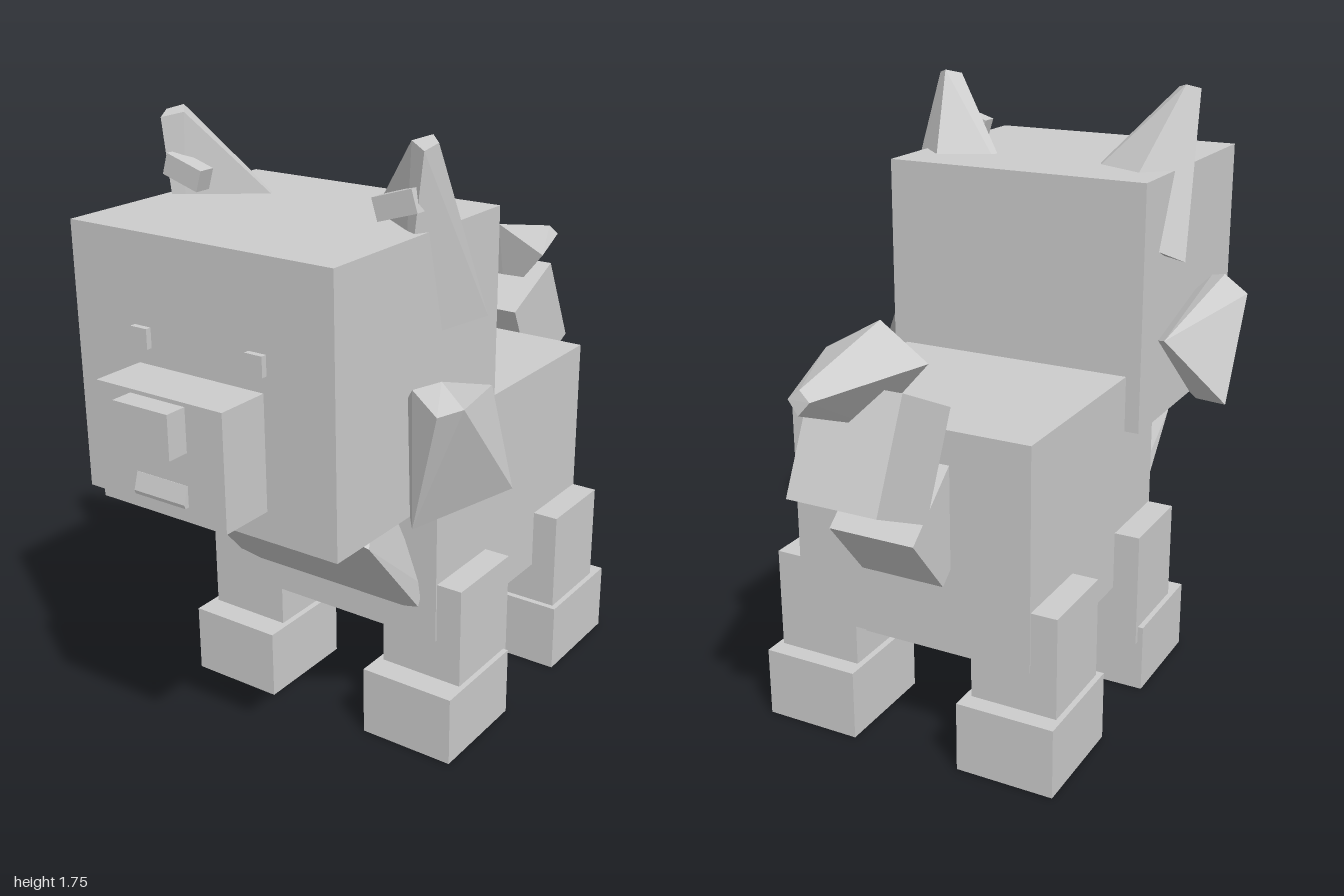
import * as THREE from 'three';
import { ConvexGeometry } from 'three/addons/geometries/ConvexGeometry.js';

export function createModel() {
  const model = new THREE.Group();
  const grey = new THREE.MeshStandardMaterial({ color: 0xcccccc });
  grey.name = 'light grey';

  function add(name, geometry) {
    const mesh = new THREE.Mesh(geometry, grey);
    mesh.name = name;
    model.add(mesh);
    return mesh;
  }
  // Box given by its extents on each axis
  function block(name, x0, x1, y0, y1, z0, z1) {
    const mesh = add(name, new THREE.BoxGeometry(x1 - x0, y1 - y0, z1 - z0));
    mesh.position.set((x0 + x1) / 2, (y0 + y1) / 2, (z0 + z1) / 2);
    return mesh;
  }
  // Faceted solid around a few corner points, mirrored in x by side
  function hull(name, points, side = 1) {
    return add(name, new ConvexGeometry(points.map(([x, y, z]) => new THREE.Vector3(x * side, y, z))));
  }
  const bothSides = (points) => points.flatMap(([x, y, z]) => [[x, y, z], [-x, y, z]]);

  // Trunk
  block('body', -0.36, 0.36, 0.325, 0.965, -0.535, 0.28);
  block('belly', -0.3, 0.3, 0.285, 0.33, -0.48, 0.22);
  hull('chestRuff', bothSides([
    [0.11, 0.8, 0.61], [0.315, 0.705, 0.535], [0.315, 0.43, 0.3], [0.24, 0.4, 0.275],
    [0.2, 0.8, 0.32], [0.3, 0.47, 0.25], [0.2, 0.45, 0.2],
  ]));

  // Head and face
  block('head', -0.403, 0.403, 0.8, 1.52, 0.065, 0.79);
  block('snout', -0.197, 0.195, 0.88, 1.185, 0.78, 0.94);
  block('nose', -0.087, 0.083, 1.06, 1.175, 0.93, 1.0);
  hull('mouth', bothSides([
    [0.08, 0.975, 0.935], [0.08, 0.975, 0.941], [0.08, 0.93, 0.955], [0.08, 0.92, 0.952], [0.08, 0.92, 0.935],
  ]));

  for (const side of [-1, 1]) {
    const name = side > 0 ? 'left' : 'right';
    block(name + 'Eye', side * 0.18 - 0.026, side * 0.18 + 0.026, 1.23, 1.283, 0.78, 0.806);

    // Cheek tuft: tapered four-sided spike
    hull(name + 'CheekTuft', [
      [0.585, 0.85, 0.28], [0.44, 1.06, 0.145], [0.42, 0.775, 0.495], [0.275, 0.985, 0.36],
      [0.565, 1.13, 0.495], [0.495, 1.184, 0.485], [0.52, 1.115, 0.545], [0.44, 1.165, 0.53],
    ], side);

    // Ear: blunt pyramid sunk into the top corner of the head
    hull(name + 'Ear', [
      [0.465, 1.275, 0.22], [0.283, 1.37, 0.085], [0.35, 1.24, 0.44], [0.03, 1.36, 0.2],
      [0.425, 1.735, 0.4], [0.39, 1.747, 0.37], [0.41, 1.72, 0.44], [0.355, 1.735, 0.41],
    ], side);
    const inner = block(name + 'InnerEar', -0.06, 0.06, -0.03, 0.03, -0.025, 0.025);
    inner.position.set(side * 0.335, 1.585, 0.428);
    inner.rotation.z = side * 0.3;

    // Legs and feet
    for (const [end, legBack, legFront, footBack, footFront] of [
      ['Front', 0.015, 0.275, 0.03, 0.35], ['Back', -0.532, -0.275, -0.585, -0.257],
    ]) {
      const span = (a, b) => (side > 0 ? [a, b] : [-b, -a]);
      block(name + end + 'Leg', ...span(0.183, 0.437), 0.155, 0.5, legBack, legFront);
      block(name + end + 'Foot', ...span(0.165, 0.453), 0, 0.205, footBack, footFront);
    }
  }

  // Tail: two tilted blocks and a diamond-section point
  const tailBase = block('tailBase', -0.125, 0.125, -0.114, 0.114, -0.13, 0.13);
  tailBase.position.set(0, 0.71, -0.548);
  tailBase.rotation.x = -0.69;
  const tailMiddle = block('tailMiddle', -0.13, 0.13, -0.152, 0.152, -0.126, 0.126);
  tailMiddle.position.set(0, 0.945, -0.711);
  tailMiddle.rotation.x = 0.443;
  hull('tailTip', [
    [0, 1.27, -0.645], [0.148, 1.185, -0.667], [-0.148, 1.185, -0.667], [0, 1.01, -0.695],
    [0, 1.195, -0.99], [0.03, 1.17, -0.995], [-0.03, 1.17, -0.995], [0, 1.135, -1],
  ]);

  return model;
}
